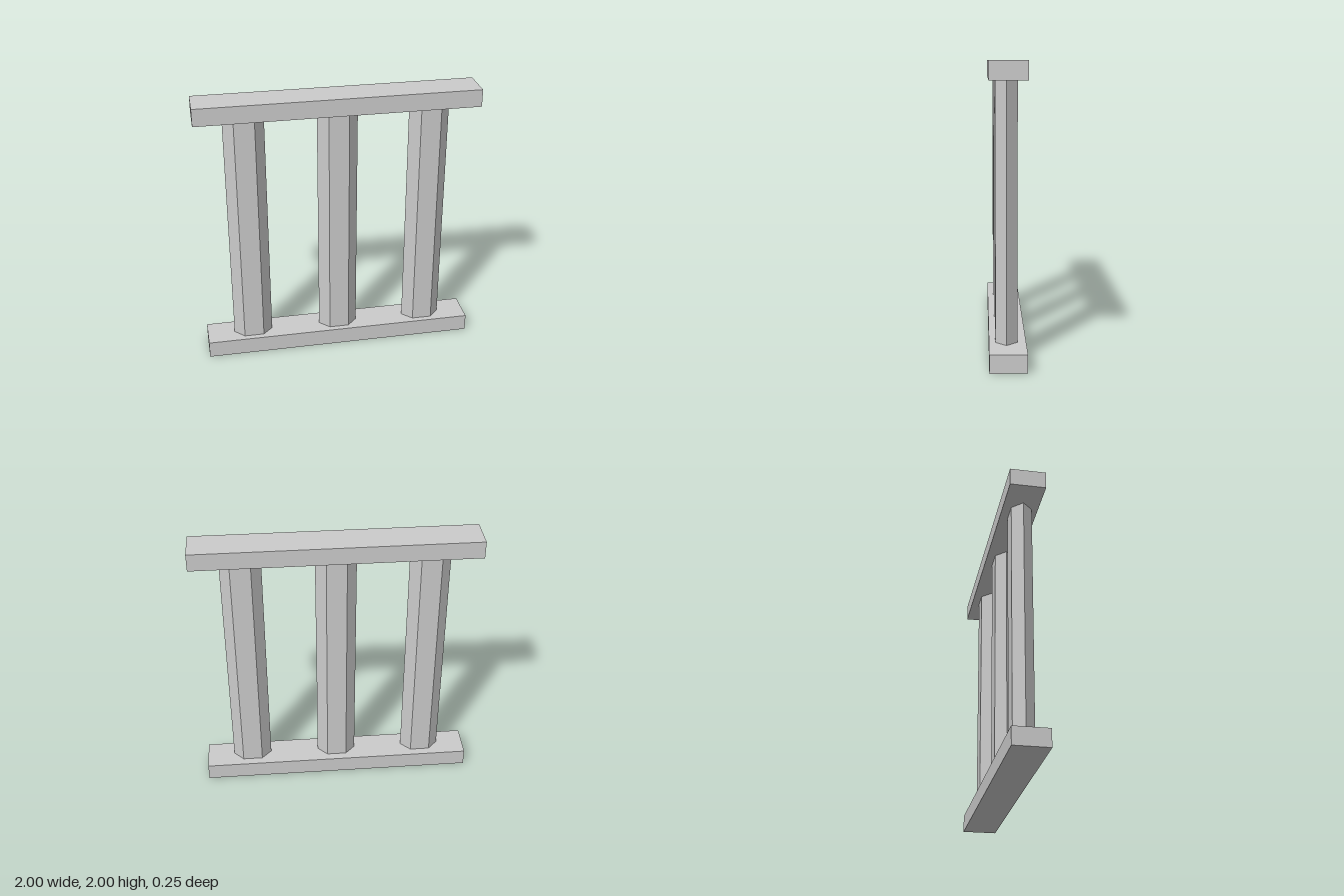
import * as THREE from 'three';

export function createModel() {
  const group = new THREE.Group();
  const material = new THREE.MeshStandardMaterial({ color: 0xcccccc, flatShading: true });

  function addPart(name, geometry, x, y, z) {
    const mesh = new THREE.Mesh(geometry, material);
    mesh.name = name;
    mesh.position.set(x, y, z);
    group.add(mesh);
  }

  // Horizontal rails
  const railHeight = 0.125;
  const rail = new THREE.BoxGeometry(2, railHeight, 0.25);
  addPart('bottomRail', rail, 0, railHeight / 2, 0);
  addPart('topRail', rail, 0, 2 - railHeight / 2, 0);

  // Flattened hexagonal posts with corners pointing along x
  const post = new THREE.CylinderGeometry(1, 1, 2 - 2 * railHeight, 6, 1, false, Math.PI / 2);
  post.scale(0.144, 1, 0.085);
  ['rightPost', 'middlePost', 'leftPost'].forEach((name, i) => {
    addPart(name, post, (i - 1) * 0.654, 1, 0.008);
  });

  return group;
}
